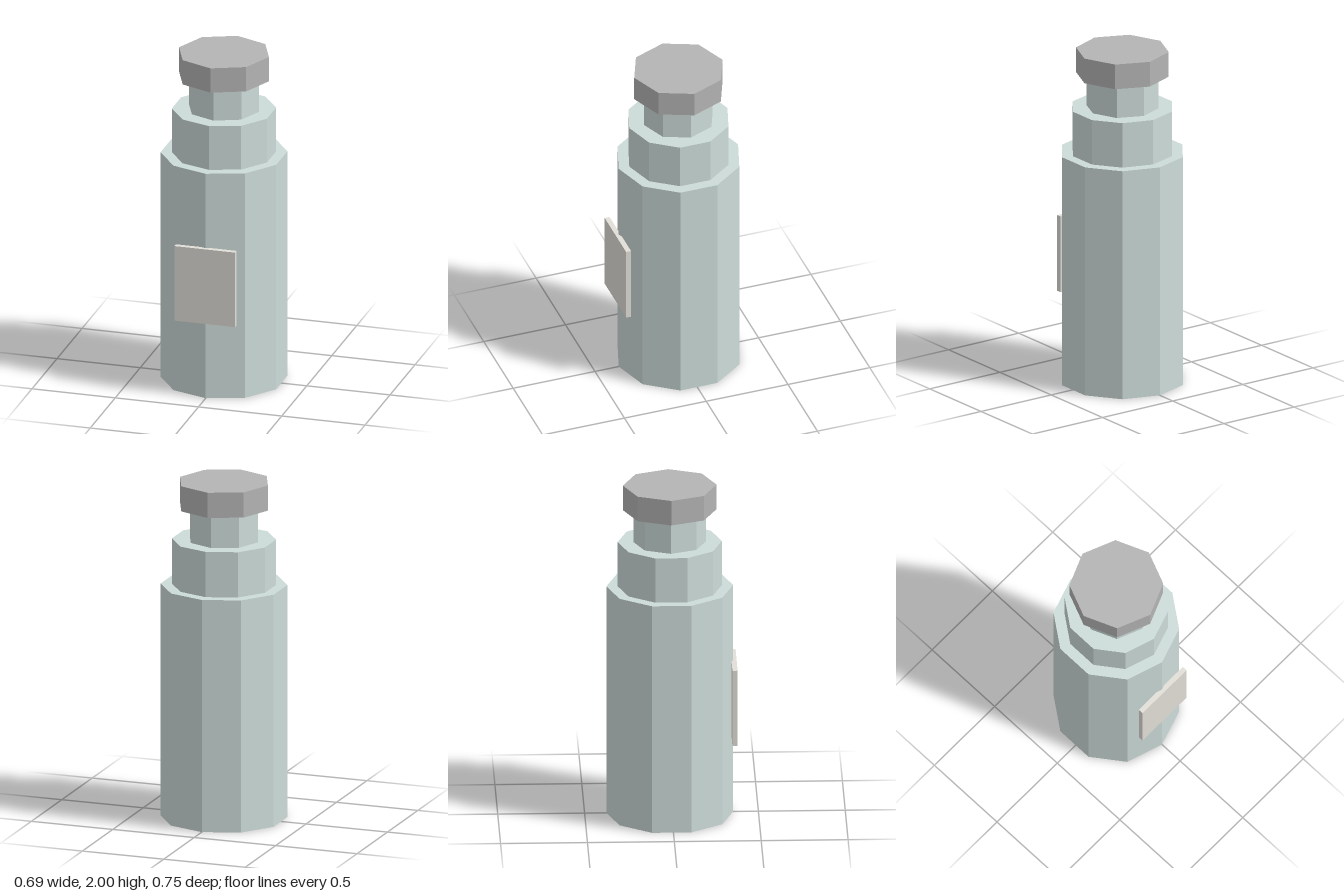
import * as THREE from 'three';

const material = (color) => new THREE.MeshStandardMaterial({ color, flatShading: true });

export function createModel() {
  const group = new THREE.Group();
  const glass = material(0xcddcd9);
  const metal = material(0xb4b4b4);
  const paper = material(0xe2dfd8);
  const axisZ = -0.01;

  // Upright prism between two heights, with a corner facing the front
  const prism = (name, radius, bottom, top, sides, mat) => {
    const mesh = new THREE.Mesh(new THREE.CylinderGeometry(radius, radius, top - bottom, sides), mat);
    mesh.name = name;
    mesh.position.set(0, (bottom + top) / 2, axisZ);
    group.add(mesh);
  };

  // Stepped bottle and its cap
  prism('body', 0.365, 0, 1.385, 10, glass);
  prism('shoulder', 0.3, 1.385, 1.655, 10, glass);
  prism('neck', 0.21, 1.655, 1.85, 8, glass);
  prism('cap', 0.27, 1.85, 2, 8, metal);

  // Flat label plate on the front corner
  const label = new THREE.Mesh(new THREE.BoxGeometry(0.365, 0.46, 0.03), paper);
  label.name = 'label';
  label.position.set(0, 0.696, 0.36);
  group.add(label);

  return group;
}
